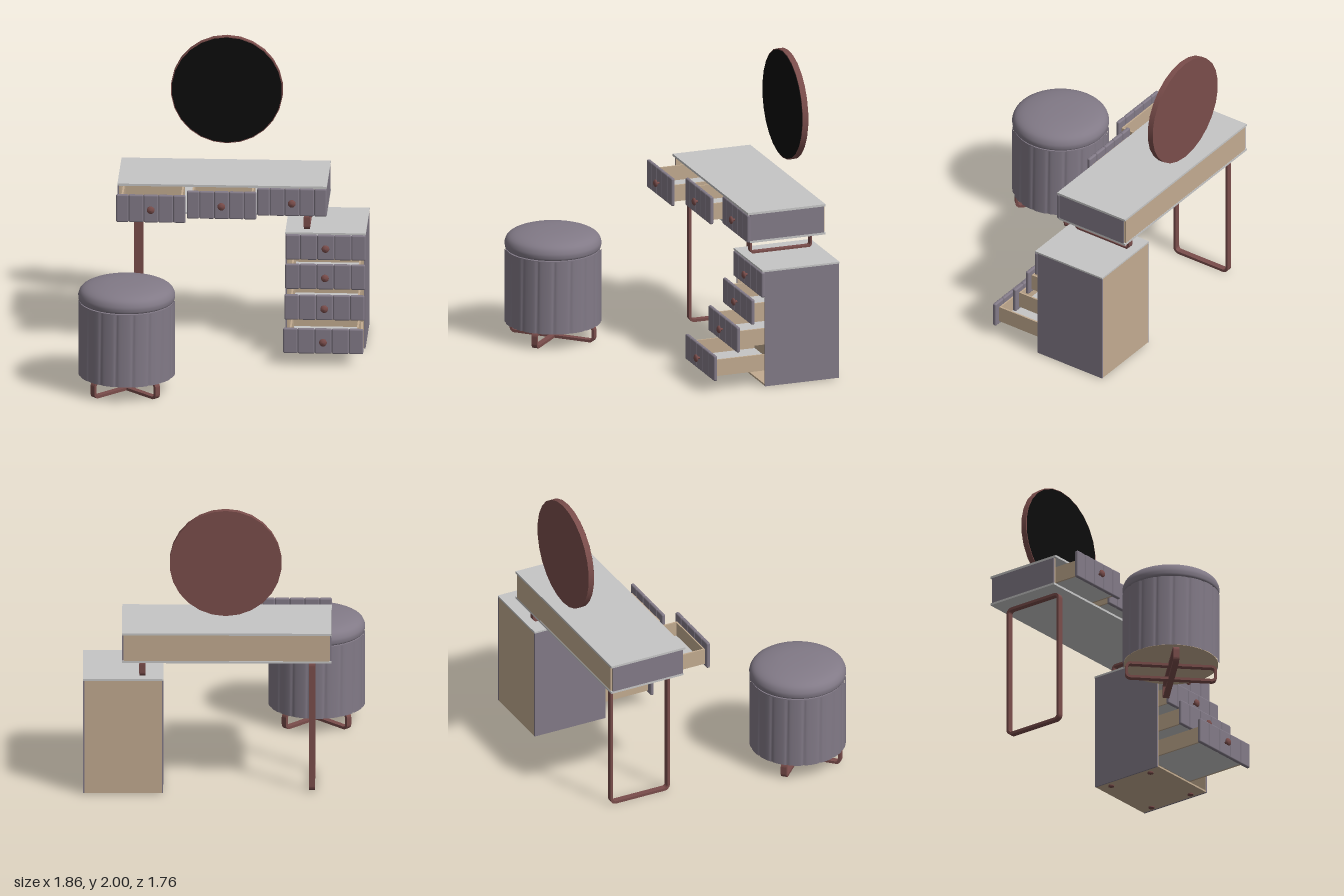
import * as THREE from 'three';
import { RoundedBoxGeometry } from 'three/addons/geometries/RoundedBoxGeometry.js';

const mat = (name, color, side = THREE.FrontSide) => {
  const m = new THREE.MeshStandardMaterial({ color, side });
  m.name = name;
  return m;
};

export function createModel() {
  const fabric = mat('mauve fabric', 0x827a87);
  const stone = mat('pale grey top', 0xc6c6c6);
  const wood = mat('tan wood', 0xc2ab90);
  const copper = mat('copper metal', 0x7a4d4b);
  const glass = mat('black mirror glass', 0x0c0c0c);

  const model = new THREE.Group();
  model.name = 'vanitySet';

  const add = (parent, name, geometry, material, x = 0, y = 0, z = 0) => {
    const mesh = new THREE.Mesh(geometry, material);
    mesh.name = name;
    mesh.position.set(x, y, z);
    parent.add(mesh);
    return mesh;
  };
  const group = (name, x = 0, y = 0, z = 0) => {
    const g = new THREE.Group();
    g.name = name;
    g.position.set(x, y, z);
    model.add(g);
    return g;
  };
  // Box given by its limits on each axis
  const box = (parent, name, material, x0, x1, y0, y1, z0, z1) =>
    add(parent, name, new THREE.BoxGeometry(x1 - x0, y1 - y0, z1 - z0), material,
      (x0 + x1) / 2, (y0 + y1) / 2, (z0 + z1) / 2);

  // Flat metal bar bent into a closed rounded rectangle, standing on y = 0
  const roundRect = (Type, w, h, y, r) => {
    const p = new Type();
    p.moveTo(-w / 2 + r, y);
    p.lineTo(w / 2 - r, y);
    p.absarc(w / 2 - r, y + r, r, -Math.PI / 2, 0);
    p.absarc(w / 2 - r, y + h - r, r, 0, Math.PI / 2);
    p.absarc(-w / 2 + r, y + h - r, r, Math.PI / 2, Math.PI);
    p.absarc(-w / 2 + r, y + r, r, Math.PI, Math.PI * 1.5);
    return p;
  };
  const frameGeometry = (w, h, t, r) => {
    const shape = roundRect(THREE.Shape, w, h, 0, r);
    shape.holes.push(roundRect(THREE.Path, w - 2 * t, h - 2 * t, t, r - t));
    return new THREE.ExtrudeGeometry(shape, { depth: 0.04, bevelEnabled: false, curveSegments: 6 })
      .translate(0, 0, -0.02);
  };

  const knobGeometry = new THREE.LatheGeometry([
    [0, -0.032], [0.014, -0.032], [0.014, -0.026], [0.008, -0.026], [0.008, 0.016],
    [0.02, 0.017], [0.026, 0.023], [0.025, 0.029], [0.016, 0.036], [0, 0.039],
  ].map(([x, y]) => new THREE.Vector2(x, y)), 16).rotateX(Math.PI / 2);

  // Drawer: padded front in five channels, knob and open box behind; z is the front face
  const drawer = (name, x, z, y0, y1, width, boxWidth, boxY, depth) => {
    const d = group(name, x, 0, z);
    const end = width * 0.18, mid = (width - 2 * end) / 3;
    let left = -width / 2;
    for (const w of [end, mid, mid, mid, end]) {
      add(d, 'paddedChannel', new RoundedBoxGeometry(w, y1 - y0, 0.026, 3, 0.01), fabric,
        left + w / 2, (y0 + y1) / 2, -0.013);
      left += w;
    }
    add(d, 'knob', knobGeometry, copper, 0, (y0 + y1) / 2, 0);
    const h = boxWidth / 2, t = 0.012, top = boxY + 0.112, back = -0.026 - depth;
    box(d, 'drawerFloor', stone, -h + t, h - t, boxY, boxY + 0.012, back + t, -0.025);
    for (const s of [-1, 1]) {
      add(d, 'drawerSide', new THREE.BoxGeometry(t, 0.112, depth), wood,
        s * (h - t / 2), boxY + 0.056, -0.026 - depth / 2);
    }
    box(d, 'drawerBack', wood, -h + t, h - t, boxY, top, back, back + t);
    box(d, 'drawerInnerFront', wood, -h + t, h - t, boxY, top, -0.036, -0.025);
  };

  // Table
  const table = group('table');
  box(table, 'tableTop', stone, -0.715, 0.67, 1.12, 1.135, -0.88, -0.33);
  box(table, 'tableBottom', stone, -0.715, 0.67, 0.925, 0.94, -0.88, -0.345);
  box(table, 'tableBack', wood, -0.7, 0.655, 0.94, 1.12, -0.878, -0.866);
  for (const [x, s] of [[-0.715, 1], [0.67, -1]]) {
    add(table, 'tableSide', new THREE.BoxGeometry(0.01, 0.18, 0.52), fabric, x + s * 0.005, 1.03, -0.608);
    add(table, 'tableSideLining', new THREE.BoxGeometry(0.01, 0.18, 0.52), wood, x + s * 0.015, 1.03, -0.608);
  }
  [[-0.485, -0.145], [-0.022, -0.24], [0.44, -0.325]].forEach(([x, z], i) =>
    drawer('tableDrawer' + (i + 1), x, z, 0.927, 1.118, 0.46, 0.405, 0.95, 0.45));

  // Table supports: floor-length leg and short bracket on the cabinet
  const leg = add(table, 'tableLeg', frameGeometry(0.44, 0.925, 0.018, 0.04), copper, -0.587, 0, -0.61);
  const bracket = add(table, 'cabinetBracket', frameGeometry(0.44, 0.115, 0.014, 0.03), copper, 0.535, 0.81, -0.61);
  leg.rotation.y = bracket.rotation.y = Math.PI / 2;

  // Cabinet
  const cabinet = group('cabinet');
  box(cabinet, 'cabinetTop', stone, 0.395, 0.928, 0.8, 0.812, -0.88, -0.335);
  box(cabinet, 'cabinetBase', wood, 0.405, 0.918, 0.008, 0.02, -0.872, -0.354);
  box(cabinet, 'cabinetBack', wood, 0.405, 0.918, 0.008, 0.8, -0.878, -0.866);
  for (const [x, s] of [[0.397, 1], [0.926, -1]]) {
    add(cabinet, 'cabinetSide', new THREE.BoxGeometry(0.01, 0.794, 0.524), fabric, x + s * 0.005, 0.404, -0.616);
    add(cabinet, 'cabinetSideLining', new THREE.BoxGeometry(0.008, 0.78, 0.51), wood, x + s * 0.014, 0.41, -0.611);
    for (const z of [-0.45, -0.78]) {
      add(cabinet, 'footPad', new THREE.CylinderGeometry(0.02, 0.02, 0.01, 12), copper, x + s * 0.05, 0.005, z);
    }
  }
  [0.01, -0.152, -0.255, -0.328].forEach((z, i) => {
    const y = 0.083 + i * 0.18;
    drawer('cabinetDrawer' + (i + 1), 0.663, z, y, y + 0.174, 0.53, 0.455, y + 0.023, 0.46);
  });

  // Round wall mirror
  const mirror = group('mirror', -0.016, 1.63, 0);
  add(mirror, 'mirrorBacking', new THREE.CylinderGeometry(0.371, 0.371, 0.04, 26).rotateX(Math.PI / 2),
    copper, 0, 0, -0.86);
  add(mirror, 'mirrorGlass', new THREE.CylinderGeometry(0.365, 0.365, 0.004, 26).rotateX(Math.PI / 2),
    glass, 0, 0, -0.839);

  // Stool: channelled drum, domed cushion and crossed feet
  const stool = group('stool', -0.61, 0, 0.558);
  const panels = 18, steps = 10;
  const drum = new THREE.CylinderGeometry(0.32, 0.32, 0.5, panels * steps, 1, true);
  const pos = drum.attributes.position;
  for (let i = 0; i < pos.count; i++) {
    const u = (((i % (panels * steps + 1)) / steps + 0.5) % 1) * 2 - 1;
    const k = 1 - 0.022 * Math.pow(Math.abs(u), 8);
    pos.setXYZ(i, pos.getX(i) * k, pos.getY(i), pos.getZ(i) * k);
  }
  drum.computeVertexNormals();
  add(stool, 'stoolDrum', drum, fabric, 0, 0.365, 0);
  add(stool, 'stoolBase', new THREE.CylinderGeometry(0.312, 0.312, 0.01, 48), wood, 0, 0.122, 0);
  add(stool, 'stoolRim', new THREE.CylinderGeometry(0.312, 0.312, 0.02, 48), fabric, 0, 0.607, 0);
  const cushion = new THREE.SplineCurve([
    [0.295, 0.618], [0.314, 0.626], [0.32, 0.645], [0.319, 0.67], [0.3, 0.704],
    [0.25, 0.729], [0.16, 0.746], [0.07, 0.752], [0, 0.753],
  ].map(([x, y]) => new THREE.Vector2(x, y))).getPoints(24);
  add(stool, 'stoolCushion', new THREE.LatheGeometry(cushion, 48), fabric);
  for (const s of [-1, 1]) {
    const foot = add(stool, 'stoolFoot', frameGeometry(0.61, 0.117, 0.018, 0.035), copper);
    foot.rotation.y = s * Math.PI / 4;
  }

  return model;
}
